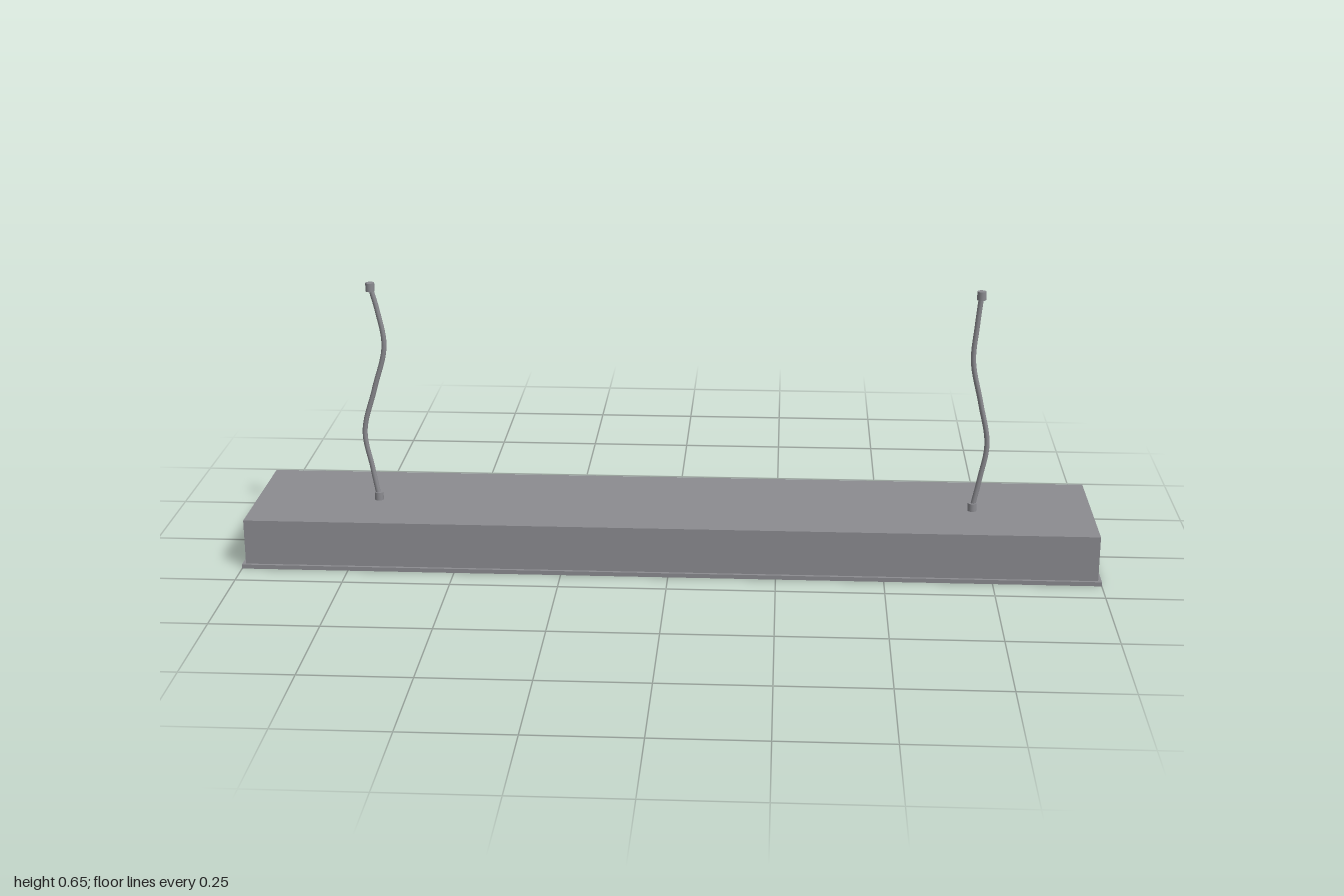
import * as THREE from 'three';

export function createModel() {
  const model = new THREE.Group();
  const metal = new THREE.MeshStandardMaterial({ color: 0x8b8b90 });
  metal.name = 'grey metal';
  const diffuserMat = new THREE.MeshStandardMaterial({ color: 0xbcc1bb });
  diffuserMat.name = 'pale diffuser';

  const add = (parent, name, geometry, material, x = 0, y = 0, z = 0) => {
    const mesh = new THREE.Mesh(geometry, material);
    mesh.name = name;
    mesh.position.set(x, y, z);
    parent.add(mesh);
    return mesh;
  };

  // Lamp housing
  add(model, 'housing', new THREE.BoxGeometry(1.984, 0.109, 0.348), metal, 0, 0.0635, 0);

  // Rim around the lower edge, open in the middle
  const rectangle = (path, w, d) => path.moveTo(-w, -d).lineTo(w, -d).lineTo(w, d).lineTo(-w, d).closePath();
  const rimShape = rectangle(new THREE.Shape(), 1, 0.181);
  rimShape.holes.push(rectangle(new THREE.Path(), 0.977, 0.158));
  const rimGeometry = new THREE.ExtrudeGeometry(rimShape, { depth: 0.01, bevelEnabled: false });
  rimGeometry.rotateX(-Math.PI / 2);
  add(model, 'rim', rimGeometry, metal);

  // Light panel recessed inside the rim
  add(model, 'diffuser', new THREE.BoxGeometry(1.954, 0.006, 0.316), diffuserMat, 0, 0.007, 0);

  // Two slack suspension cables with end fittings
  const cableZ = 0.016;
  const cables = [
    ['rightCable', [[-0.7, 0.125], [-0.713, 0.2], [-0.727, 0.29], [-0.7, 0.395], [-0.673, 0.5], [-0.685, 0.585], [-0.7, 0.645]]],
    ['leftCable', [[0.71, 0.125], [0.725, 0.2], [0.738, 0.285], [0.719, 0.385], [0.698, 0.485], [0.703, 0.57], [0.71, 0.645]]],
  ];
  for (const [name, points] of cables) {
    const group = new THREE.Group();
    group.name = name;
    const curve = new THREE.CatmullRomCurve3(points.map(([x, y]) => new THREE.Vector3(x, y, cableZ)));
    add(group, 'cable', new THREE.TubeGeometry(curve, 48, 0.006, 12), metal);
    const x = points[0][0];
    add(group, 'lowerFitting', new THREE.CylinderGeometry(0.0105, 0.0105, 0.02, 20), metal, x, 0.127, cableZ);
    add(group, 'upperFitting', new THREE.CylinderGeometry(0.0105, 0.0105, 0.02, 20), metal, x, 0.643, cableZ);
    model.add(group);
  }
  return model;
}
